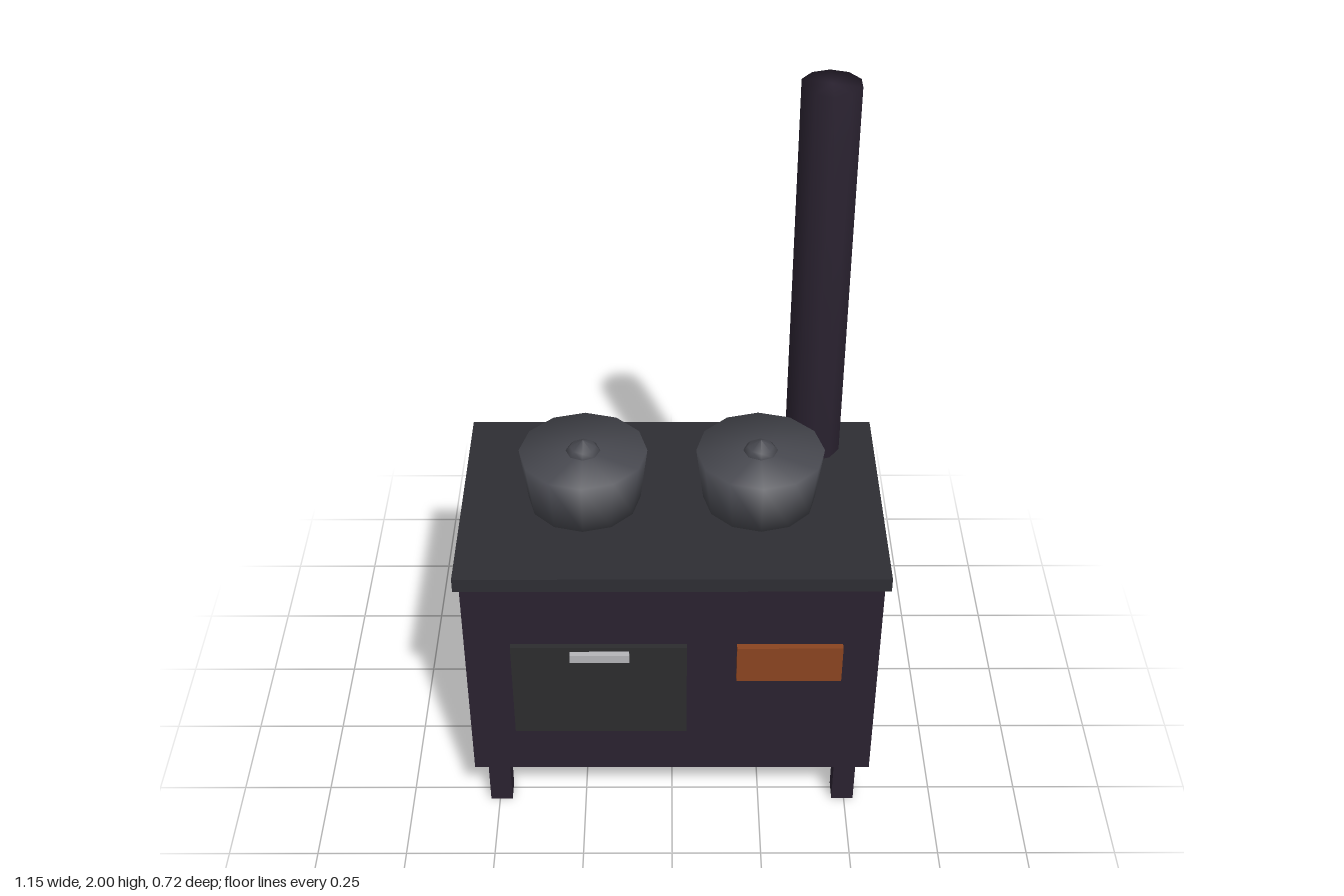
import * as THREE from 'three';

const mat = (color) => new THREE.MeshStandardMaterial({ color });
const iron = mat(0x2a2230), plate = mat(0x2e2e33), doorMat = mat(0x2c2c2e);
const potMat = mat(0x484950), ember = mat(0x8a4420), steel = mat(0xb4b4b8);

const MID_Z = -0.008; // middle of the stove body

export function createModel() {
  const stove = new THREE.Group();
  stove.name = 'stove';

  // box given by its lower and upper corners
  function box(name, material, [x0, y0, z0], [x1, y1, z1]) {
    const mesh = new THREE.Mesh(new THREE.BoxGeometry(x1 - x0, y1 - y0, z1 - z0), material);
    mesh.position.set((x0 + x1) / 2, (y0 + y1) / 2, (z0 + z1) / 2);
    mesh.name = name;
    stove.add(mesh);
  }

  // smooth turned part, profile from bottom to top
  function turned(name, material, profile, sides, parent) {
    const points = profile.map(([r, y]) => new THREE.Vector2(r, y));
    const mesh = new THREE.Mesh(new THREE.LatheGeometry(points, sides), material);
    mesh.name = name;
    parent.add(mesh);
    return mesh;
  }

  // body and cooking plate
  box('body', iron, [-0.56, 0.165, -0.341], [0.56, 0.84, 0.326]);
  box('cookingPlate', plate, [-0.575, 0.84, -0.358], [0.575, 0.882, 0.342]);

  // legs
  for (const sx of [-1, 1]) {
    for (const sz of [-1, 1]) {
      const x = sx * 0.495, z = MID_Z + sz * 0.271;
      box('leg', iron, [x - 0.031, 0, z - 0.031], [x + 0.031, 0.17, z + 0.031]);
    }
  }

  // oven door with handle, and firebox door
  box('ovenDoor', doorMat, [-0.435, 0.325, 0.31], [0.04, 0.64, 0.341]);
  box('ovenHandle', steel, [-0.275, 0.6, 0.335], [-0.115, 0.626, 0.358]);
  box('fireboxDoor', ember, [0.175, 0.52, 0.31], [0.46, 0.64, 0.345]);

  // chimney pipe
  const chimney = turned('chimney', iron, [[0, 0.86], [0.079, 0.86], [0.079, 2], [0, 2]], 10, stove);
  chimney.position.set(0.4, 0, -0.25);

  // tapered pots with flat lids and small knobs
  for (const x of [-0.24, 0.24]) {
    const pot = new THREE.Group();
    pot.name = 'pot';
    pot.position.set(x, 0.882, MID_Z);
    turned('potBody', potMat, [[0, 0], [0.154, 0], [0.174, 0.159], [0, 0.159]], 12, pot);
    turned('lidKnob', potMat, [[0.04, 0.14], [0.048, 0.158], [0.035, 0.172], [0, 0.193]], 8, pot);
    stove.add(pot);
  }

  return stove;
}
